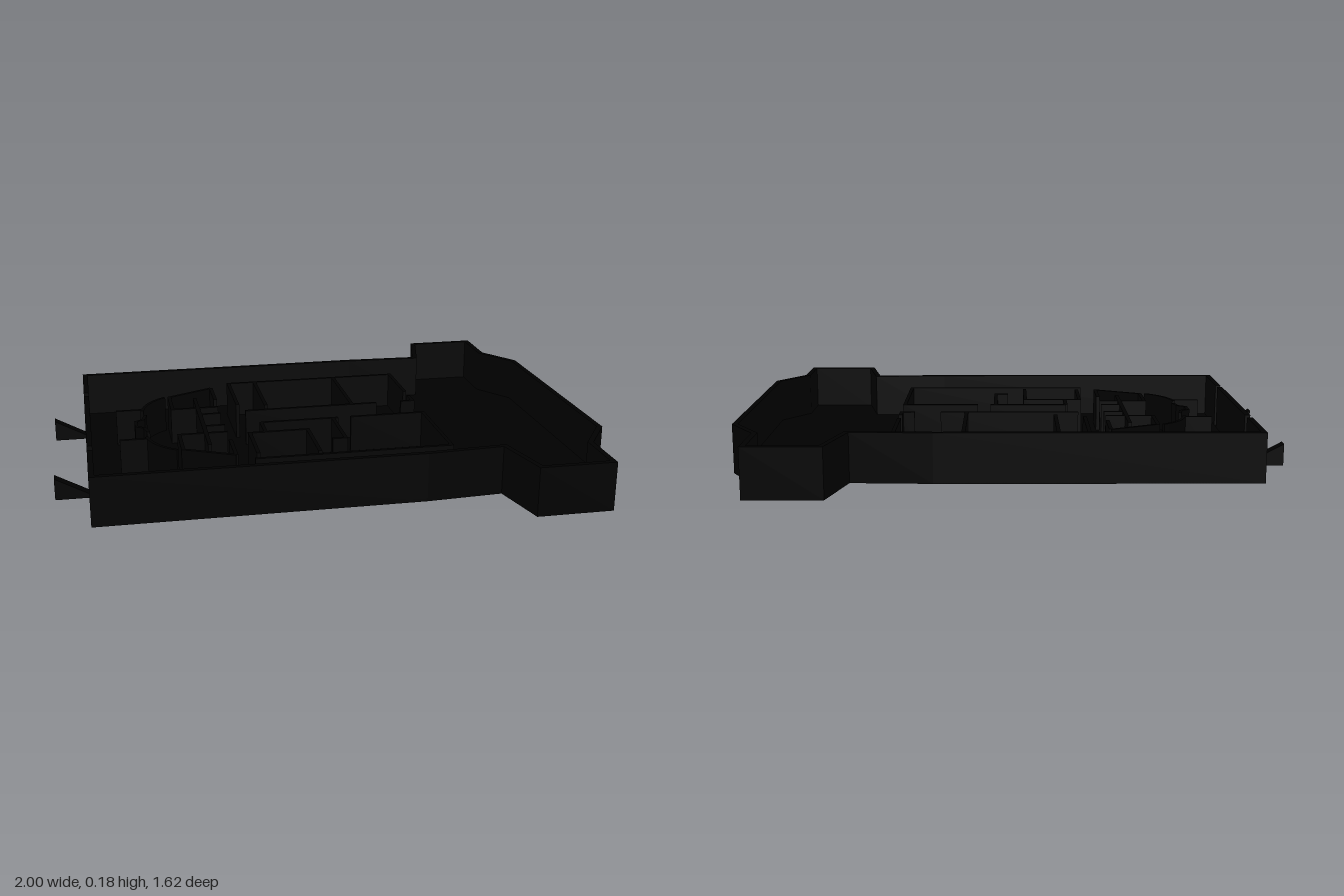
import * as THREE from 'three';

const material = new THREE.MeshStandardMaterial({ color: 0x000000, flatShading: true, side: THREE.DoubleSide });
const FLOOR = 0.01, OUTER_TOP = 0.18, INNER_TOP = 0.15;

// Extrudes a plan outline given as [x, z] corners from y0 up to y1.
function slab(points, y0, y1) {
  const shape = new THREE.Shape(points.map(([x, z]) => new THREE.Vector2(x, -z)));
  const geometry = new THREE.ExtrudeGeometry(shape, { depth: y1 - y0, bevelEnabled: false });
  return geometry.rotateX(-Math.PI / 2).translate(0, y0, 0);
}

// Shifts an open path sideways with mitred corners.
function offsetPath(path, distance) {
  const normal = (a, b) => {
    const length = Math.hypot(b[0] - a[0], b[1] - a[1]);
    return [-(b[1] - a[1]) / length, (b[0] - a[0]) / length];
  };
  return path.map((p, i) => {
    const n1 = normal(path[Math.max(i - 1, 0)], path[Math.max(i, 1)]);
    const last = path.length - 1;
    const n2 = normal(path[Math.min(i, last - 1)], path[Math.min(i + 1, last)]);
    const scale = distance / (1 + n1[0] * n2[0] + n1[1] * n2[1]);
    return [p[0] + (n1[0] + n2[0]) * scale, p[1] + (n1[1] + n2[1]) * scale];
  });
}

// A wall of constant thickness lying between two offsets of a path.
function wall(path, from, to, height) {
  return slab([...offsetPath(path, from), ...offsetPath(path, to).reverse()], 0, height);
}

export function createModel() {
  const model = new THREE.Group();
  const add = (name, geometry) => {
    const mesh = new THREE.Mesh(geometry, material);
    mesh.name = name;
    model.add(mesh);
  };

  // Floor plate with the two side wings
  const outline = [
    [-0.88, -0.6], [0.27, -0.6], [0.56, -0.588], [0.615, -0.81], [0.89, -0.81], [0.89, -0.6], [0.99, -0.45],
    [1, 0.45], [0.9, 0.6], [0.9, 0.805], [0.62, 0.805], [0.57, 0.583], [0.29, 0.6], [-0.88, 0.6],
  ];
  add('floor', slab(outline, 0, FLOOR));

  // Outer wall, interrupted by two narrow entrances
  add('outerWall', wall([[-0.88, -0.335], ...outline, [-0.88, 0.335]], 0, 0.02, OUTER_TOP));
  add('entranceWall', wall([[-0.88, 0.295], [-0.88, -0.295]], 0, 0.02, OUTER_TOP));

  // Wedge ramps outside the entrances
  for (const side of [-1, 1]) {
    const profile = new THREE.Shape([
      new THREE.Vector2(-1, 0), new THREE.Vector2(-0.87, 0),
      new THREE.Vector2(-0.87, FLOOR), new THREE.Vector2(-1, 0.08),
    ]);
    const ramp = new THREE.ExtrudeGeometry(profile, { depth: 0.042, bevelEnabled: false });
    add(side > 0 ? 'leftRamp' : 'rightRamp', ramp.translate(0, 0, side * 0.315 - 0.021));
  }

  // Straight and bent partitions of the main rooms
  const partitions = [
    [[-0.28, -0.16], [-0.28, -0.45], [0.42, -0.45], [0.42, -0.2]],
    [[0.42, -0.14], [0.42, -0.08], [0.37, -0.08]],
    [[-0.17, -0.45], [-0.17, -0.13]],
    [[0.17, -0.45], [0.17, -0.08]],
    [[-0.26, -0.08], [0.27, -0.08]],
    [[-0.22, 0.07], [0.08, 0.07]],
    [[0.13, 0.07], [0.42, 0.07], [0.42, 0.45], [-0.3, 0.45]],
    [[-0.22, 0.07], [-0.22, 0.18]],
    [[-0.28, 0.4], [-0.28, 0.18], [-0.06, 0.18], [-0.06, 0.42]],
    [[0.06, 0.07], [0.06, 0.3], [0.01, 0.3]],
  ];
  partitions.forEach((path) => add('partition', wall(path, -0.007, 0.007, INNER_TOP)));

  // Mirrored rooms around the central hall
  const mirrored = [
    [[-0.36, -0.4], [-0.54, -0.31], [-0.54, -0.15], [-0.36, -0.15]],
    [[-0.36, -0.4], [-0.36, -0.24]],
    [[-0.44, -0.28], [-0.44, -0.15]],
    [[-0.44, -0.07], [-0.36, -0.07]],
    [[-0.76, -0.17], [-0.66, -0.17]],
  ];
  for (const side of [-1, 1]) {
    for (const path of mirrored) {
      add('sideRoomWall', wall(path.map(([x, z]) => [x, -side * z]), -0.007, 0.007, INNER_TOP));
    }
    // Curved screens beside the entrance hall
    const curve = new THREE.QuadraticBezierCurve(
      new THREE.Vector2(-0.56, side * 0.31), new THREE.Vector2(-0.64, side * 0.26), new THREE.Vector2(-0.66, side * 0.15));
    add('curvedScreen', wall(curve.getPoints(8).map((p) => [p.x, p.y]), -0.006, 0.006, INNER_TOP));
  }
  add('hallWall', wall([[-0.44, -0.14], [-0.44, 0.14]], -0.008, 0.008, INNER_TOP));
  const bow = [[-0.65, -0.1], [-0.66, -0.05], [-0.69, -0.03], [-0.69, 0.03], [-0.66, 0.05], [-0.65, 0.1]];
  add('hallScreen', wall(bow, -0.006, 0.006, INNER_TOP));

  return model;
}
